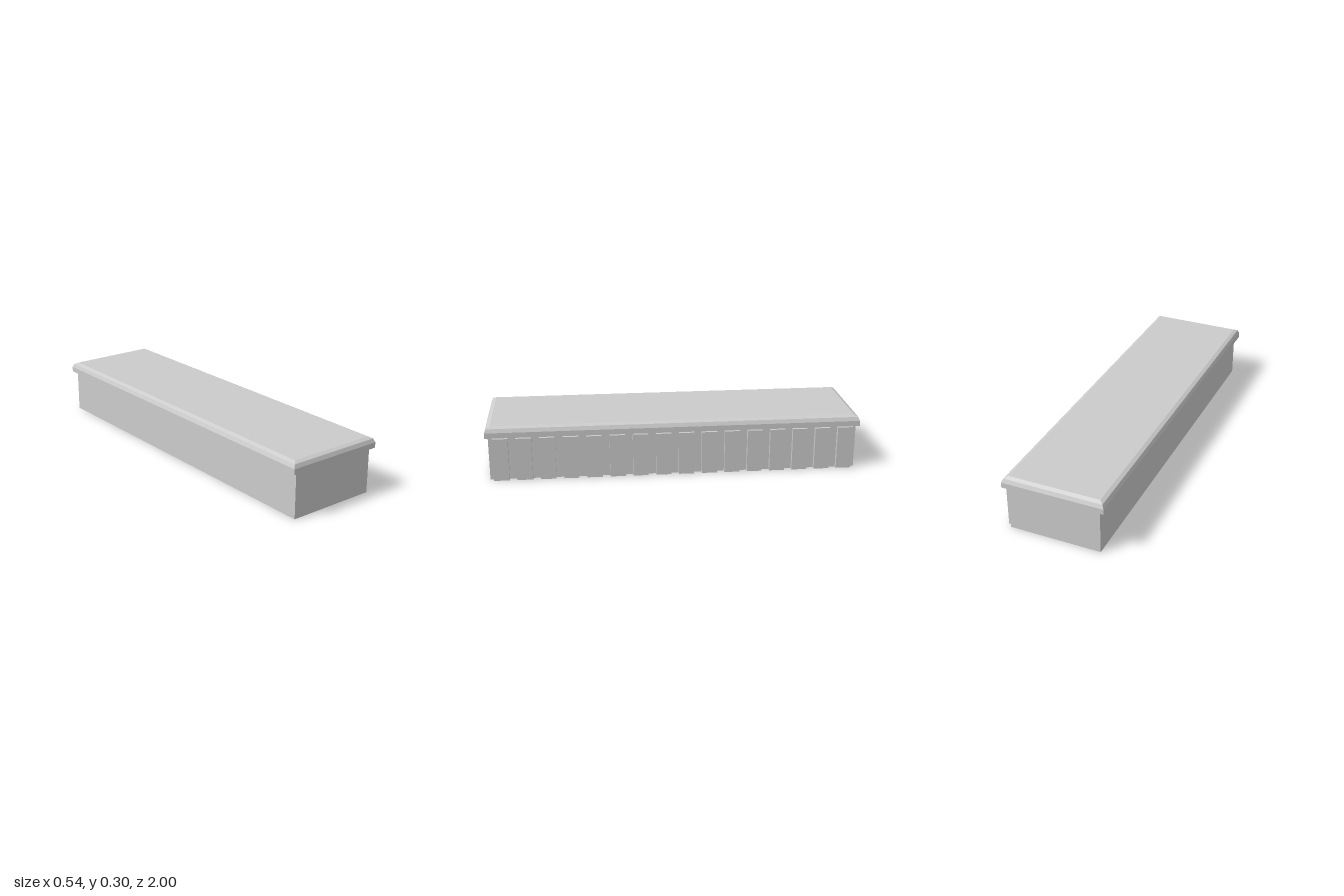
import * as THREE from 'three';

const material = new THREE.MeshStandardMaterial({
  color: 0xcccccc, flatShading: true, side: THREE.DoubleSide,
});

// Thin shell through rectangular rings [halfX, halfZ, y], bottom to top
function rectLoft(rings, capTop) {
  const positions = [];
  const corners = rings.map(([hx, hz, y]) => [
    [-hx, y, hz], [hx, y, hz], [hx, y, -hz], [-hx, y, -hz],
  ]);
  const quad = (a, b, c, d) => positions.push(...a, ...b, ...c, ...a, ...c, ...d);
  for (let r = 0; r < corners.length - 1; r++) {
    for (let i = 0; i < 4; i++) {
      const j = (i + 1) % 4;
      quad(corners[r][i], corners[r][j], corners[r + 1][j], corners[r + 1][i]);
    }
  }
  if (capTop) quad(...corners[corners.length - 1]);
  const geometry = new THREE.BufferGeometry();
  geometry.setAttribute('position', new THREE.Float32BufferAttribute(positions, 3));
  geometry.computeVertexNormals();
  return geometry;
}

export function createModel() {
  const model = new THREE.Group();
  model.name = 'ribbedBlock';

  const add = (name, geometry, parent = model) => {
    const mesh = new THREE.Mesh(geometry, material);
    mesh.name = name;
    parent.add(mesh);
    return mesh;
  };

  const hx = 0.246, hz = 0.985, bodyTop = 0.234;

  // Hollow body, open underneath
  add('body', rectLoft([[hx, hz, 0], [hx, hz, bodyTop]], false));

  // Overhanging lid with flared underside and bevelled top edge
  add('lid', rectLoft([
    [hx, hz, bodyTop],
    [0.272, 1, 0.241],
    [0.272, 1, 0.27],
    [0.263, 0.991, 0.29],
    [0.244, 0.972, 0.299],
  ], true));

  // Row of upright ribs along the left side
  const ribs = new THREE.Group();
  ribs.name = 'ribs';
  model.add(ribs);
  const count = 16, pitch = (2 * hz) / count, depth = 0.022;
  const ribGeometry = new THREE.BoxGeometry(depth, bodyTop, 0.082);
  for (let i = 0; i < count; i++) {
    add('rib', ribGeometry, ribs)
      .position.set(hx + depth / 2, bodyTop / 2, (i - (count - 1) / 2) * pitch);
  }

  return model;
}
